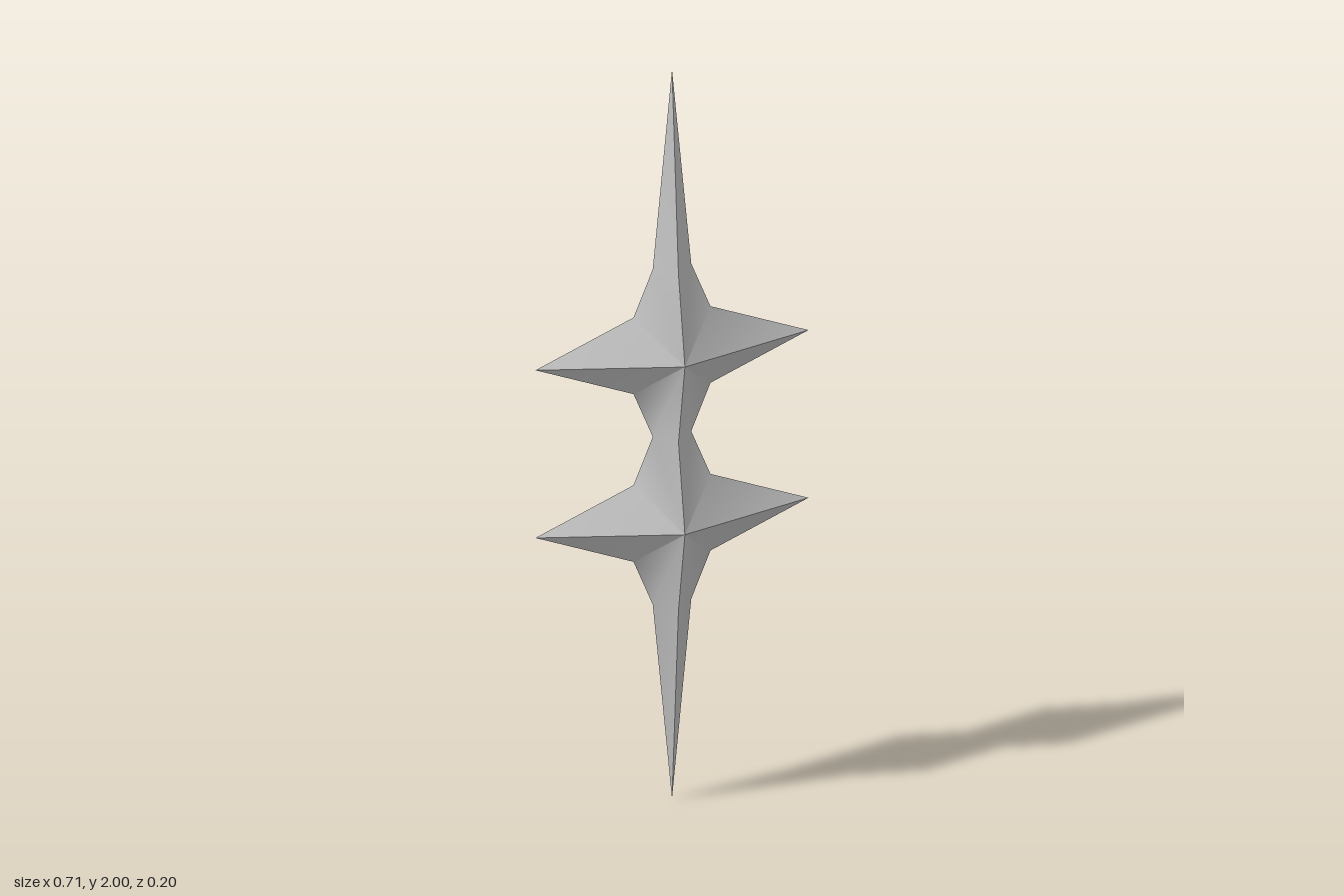
import * as THREE from 'three';
import { toCreasedNormals } from 'three/addons/utils/BufferGeometryUtils.js';

const MID = 1;           // height of the waist
const RIDGE = 0.23;      // distance from the waist to each blade, and from blade to neck
const NECK = 0.05;       // half width of the slim diamond sections

// Fan of triangles, mirrored into every quadrant with the winding kept outward
function addFan(out, points, flipY, baseY) {
  for (const sx of [1, -1]) for (const sz of [1, -1]) {
    const p = points.map(([x, y, z]) => [x * sx, baseY + y * flipY, z * sz]);
    const flipped = sx * sz * flipY < 0;
    for (let i = 1; i < p.length - 1; i++) {
      out.push(...p[0], ...(flipped ? p[i + 1] : p[i]), ...(flipped ? p[i] : p[i + 1]));
    }
  }
}

function makeMesh(name, positions, material) {
  const geometry = new THREE.BufferGeometry();
  geometry.setAttribute('position', new THREE.Float32BufferAttribute(positions, 3));
  const mesh = new THREE.Mesh(toCreasedNormals(geometry, THREE.MathUtils.degToRad(40)), material);
  mesh.name = name;
  return mesh;
}

export function createModel() {
  const group = new THREE.Group();
  group.name = 'doubleBladedSpike';
  const material = new THREE.MeshStandardMaterial({ color: 0xcccccc });

  // One quadrant of a blade half: front ridge, blade tip, shoulder, neck side, neck front
  const bladeFan = [
    [0, 0, 0.1],
    [0.355, 0, 0],
    [0.1, 0.105, 0],
    [NECK, RIDGE, 0],
    [0, RIDGE, NECK],
  ];
  // One quadrant of a long point
  const spikeFan = [[0, 0, NECK], [NECK, 0, 0], [0, 1 - 2 * RIDGE, 0]];

  // Upper and lower halves, each a four-sided blade with a long point beyond it
  const body = [];
  for (const side of [1, -1]) {
    for (const flip of [1, -1]) addFan(body, bladeFan, flip, MID + side * RIDGE);
    addFan(body, spikeFan, side, MID + side * 2 * RIDGE);
  }
  group.add(makeMesh('bladesAndSpikes', body, material));
  return group;
}
